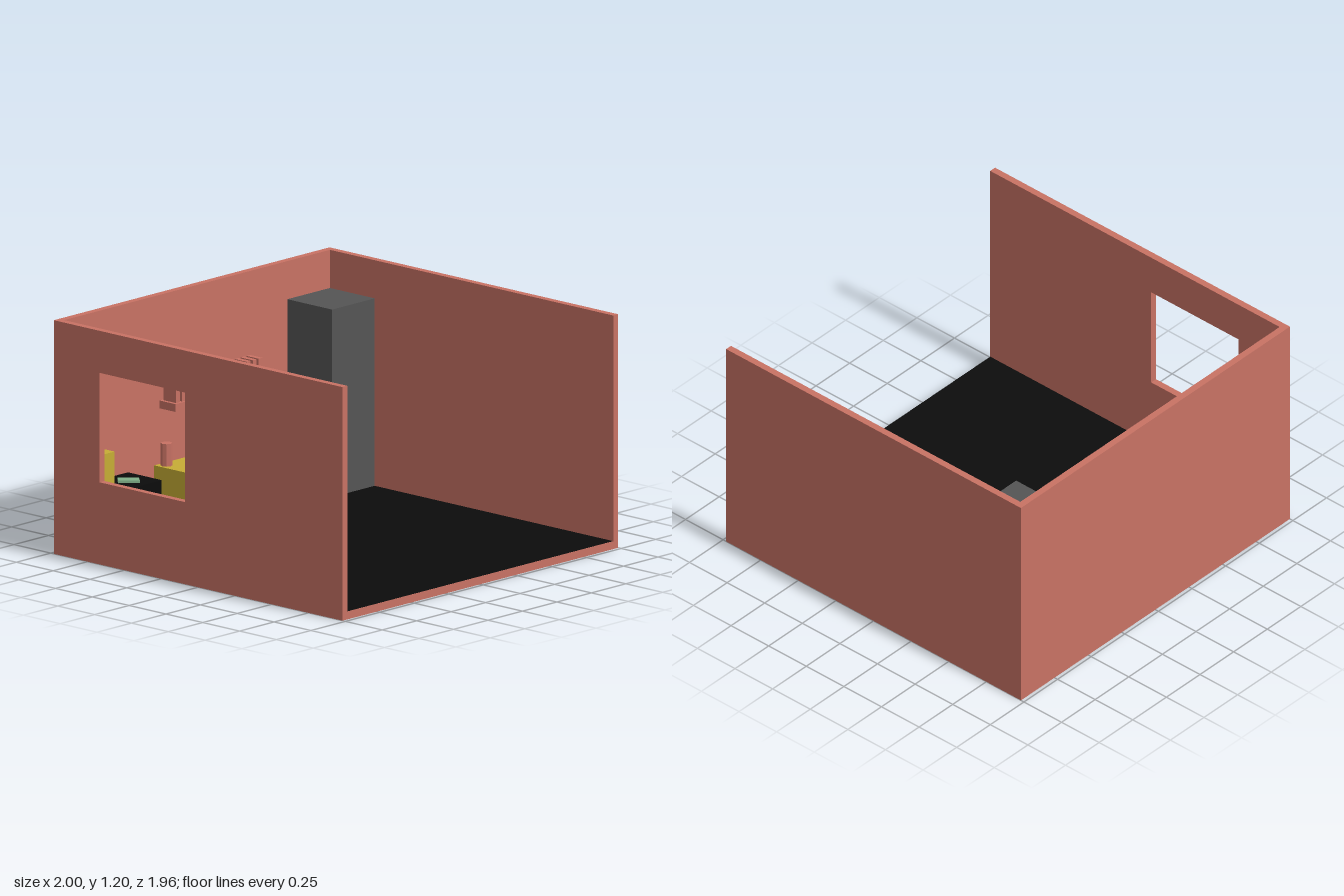
import * as THREE from 'three';

const material = (color) => new THREE.MeshStandardMaterial({ color, flatShading: true });

export function createModel() {
  const room = new THREE.Group();
  room.name = 'room';

  const clay = material(0xc87264);
  const black = material(0x0c0c0c);
  const yellow = material(0xc6ad35);
  const grey = material(0x555555);
  const green = material(0x80b088);
  const blue = material(0x6676b0);

  const add = (name, geometry, mat, parent = room) => {
    const mesh = new THREE.Mesh(geometry, mat);
    mesh.name = name;
    parent.add(mesh);
    return mesh;
  };
  // Box given by its lower and upper limits on each axis
  const box = (name, mat, [x0, x1], [y0, y1], [z0, z1], parent) => {
    const mesh = add(name, new THREE.BoxGeometry(x1 - x0, y1 - y0, z1 - z0), mat, parent);
    mesh.position.set((x0 + x1) / 2, (y0 + y1) / 2, (z0 + z1) / 2);
    return mesh;
  };

  const W = 1, D = 0.98, H = 1.195, T = 0.036;
  const inX = W - T, backZ = -D + T, floorY = 0.04, deskY = 0.33;

  // Floor slab with a dark covering
  box('floor', clay, [-inX, inX], [0, floorY], [backZ, D]);
  const cover = add('floorCovering', new THREE.PlaneGeometry(2 * inX, D - backZ), black);
  cover.rotation.x = -Math.PI / 2;
  cover.position.set(0, floorY + 0.001, (D + backZ) / 2);

  // Back wall and plain side wall
  box('backWall', clay, [-inX, inX], [0, H], [-D, backZ]);
  box('leftWall', clay, [inX, W], [0, H], [-D, D]);

  // Side wall with a window opening, drawn in z and y
  const rect = (path, z0, z1, y0, y1) =>
    path.moveTo(z0, y0).lineTo(z1, y0).lineTo(z1, y1).lineTo(z0, y1).closePath();
  const wall = new THREE.Shape();
  rect(wall, -D, D, 0, H);
  const opening = new THREE.Path();
  rect(opening, -0.67, -0.09, 0.42, 0.98);
  wall.holes.push(opening);
  const wallGeometry = new THREE.ExtrudeGeometry(wall, { depth: T, bevelEnabled: false });
  wallGeometry.rotateY(-Math.PI / 2);
  wallGeometry.translate(-inX, 0, 0);
  add('windowWall', wallGeometry, clay);

  // Furniture along the back wall
  box('blackCounter', black, [-inX, -0.5], [floorY, deskY], [backZ, -0.715]);
  box('yellowCounter', yellow, [-0.31, 0.305], [floorY, deskY], [backZ, -0.715]);
  box('tallCabinet', grey, [0.655, inX], [floorY, 1.0], [backZ, -0.64]);

  // Objects on the counters
  box('yellowBox', yellow, [-0.885, -0.785], [deskY, 0.52], [-0.865, -0.768]);
  box('greyBox', grey, [0, 0.15], [deskY, 0.485], [-0.94, -0.84]);
  const pads = [
    ['greenPad', green, -0.634, -0.815, 0.108, 0.06],
    ['bluePad', blue, -0.172, -0.802, 0.085, 0.054],
  ];
  for (const [name, mat, x, z, length, width] of pads) {
    const pad = add(name, new THREE.BoxGeometry(length, 0.013, width), mat);
    pad.position.set(x, deskY + 0.0065, z);
    pad.rotation.y = -0.75;
  }
  const canister = add('canister', new THREE.CylinderGeometry(0.029, 0.029, 0.115, 8), clay);
  canister.position.set(-0.268, deskY + 0.0575, -0.9);

  // Wall shelf with a row of upright books
  const shelf = new THREE.Group();
  shelf.name = 'bookshelf';
  room.add(shelf);
  box('shelfBoard', clay, [-0.272, 0.38], [0.615, 0.655], [backZ, -0.835], shelf);
  for (let i = 0; i < 15; i++) {
    const x = -0.254 + i * 0.0428;
    box('book' + (i + 1), clay, [x, x + 0.027], [0.655, 0.77], [-0.932, -0.848], shelf);
  }

  return room;
}
